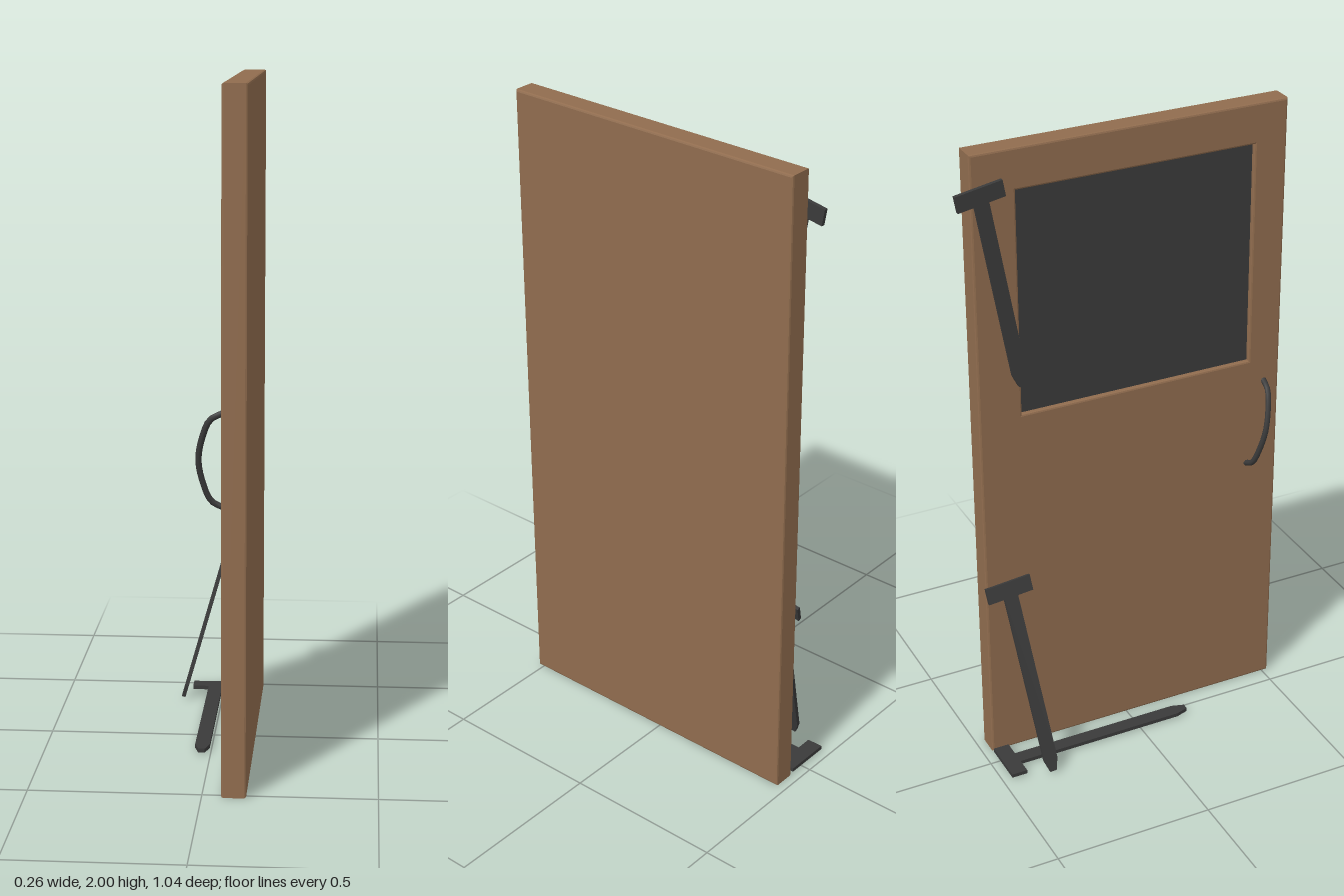
import * as THREE from 'three';

const wood = new THREE.MeshStandardMaterial({ color: 0x906c4e });
wood.name = 'wood brown';
const iron = new THREE.MeshStandardMaterial({ color: 0x3a3a3a });
iron.name = 'dark iron';

// Rectangle in the door plane: u runs along world z, v along world y
function rect(Type, u0, u1, v0, v1) {
  return new Type([[u0, v0], [u1, v0], [u1, v1], [u0, v1]].map(([u, v]) => new THREE.Vector2(u, v)));
}

function addMesh(parent, name, geometry, material) {
  const mesh = new THREE.Mesh(geometry, material);
  mesh.name = name;
  parent.add(mesh);
  return mesh;
}

// T-shaped strap with a pointed tip; its top is at the origin and it hangs down
const outline = [[0.0725, 0], [-0.0725, 0], [-0.0725, -0.05], [-0.022, -0.05], [-0.022, -0.6],
  [-0.01, -0.64], [0.01, -0.64], [0.022, -0.6], [0.022, -0.05], [0.0725, -0.05]];
const strapGeometry = new THREE.ExtrudeGeometry(
  new THREE.Shape(outline.map(([x, y]) => new THREE.Vector2(x, y))),
  { depth: 0.012, bevelEnabled: false }).translate(0, 0, -0.006);

// Places a strap from its head to its tip, with its flat side facing roughly along normal
function addStrap(parent, name, head, tip, normal) {
  const strap = addMesh(parent, name, strapGeometry, iron);
  const up = head.clone().sub(tip).normalize();
  const side = up.clone().cross(normal).normalize();
  strap.quaternion.setFromRotationMatrix(
    new THREE.Matrix4().makeBasis(side, up, side.clone().cross(up)));
  strap.position.copy(head);
}

export function createModel() {
  const model = new THREE.Group();
  model.name = 'door';
  const V = (x, y, z) => new THREE.Vector3(x, y, z);

  // Door leaf with softened edges and a window opening
  const b = 0.006, x0 = 0.055, x1 = 0.127;
  const win = [-0.341, 0.421, 1.169, 1.881];
  const leaf = rect(THREE.Shape, -0.47 + b, 0.52 - b, b, 2 - b);
  leaf.holes.push(rect(THREE.Path, ...win));
  const leafGeometry = new THREE.ExtrudeGeometry(leaf, {
    depth: x1 - x0 - 2 * b, bevelSize: b, bevelThickness: b, bevelSegments: 2,
  });
  leafGeometry.rotateY(-Math.PI / 2).translate(x1 - b, 0, 0);
  addMesh(model, 'doorLeaf', leafGeometry, wood);

  // Solid face behind the window recess, and the dark pane in it
  const [z0, z1, y0, y1] = win;
  const recess = 0.02;
  const backing = addMesh(model, 'windowBacking',
    new THREE.BoxGeometry(x1 - x0 - recess, y1 - y0, z1 - z0), wood);
  backing.position.set((x0 + recess + x1) / 2, (y0 + y1) / 2, (z0 + z1) / 2);
  const pane = addMesh(model, 'windowPane',
    new THREE.BoxGeometry(0.006, y1 - y0 - 2 * b, z1 - z0 - 2 * b), iron);
  pane.position.set(x0 + recess - 0.002, (y0 + y1) / 2, (z0 + z1) / 2);

  // Hinge straps: one on the door, one leaning, one on the floor
  addStrap(model, 'upperHinge', V(0.047, 1.907, -0.45), V(0.047, 1.277, -0.338), V(-1, 0, 0));
  addStrap(model, 'leaningHinge', V(0.05, 0.62, -0.403), V(-0.125, 0.003, -0.343), V(-1, 0, 0));
  addStrap(model, 'fallenHinge', V(-0.027, 0.011, -0.47), V(-0.027, 0.011, 0.17), V(0, 1, 0));

  // Bowed pull handle, slightly tilted
  const arc = [[0.06, 1.1], [0.022, 1.08], [-0.002, 1.025], [-0.013, 0.96],
    [-0.002, 0.895], [0.022, 0.838], [0.06, 0.818]];
  const path = new THREE.CatmullRomCurve3(
    arc.map(([x, y]) => V(x, y, 0.443 + (y - 0.959) * 0.19)));
  addMesh(model, 'handle', new THREE.TubeGeometry(path, 18, 0.009, 8), iron);

  return model;
}
